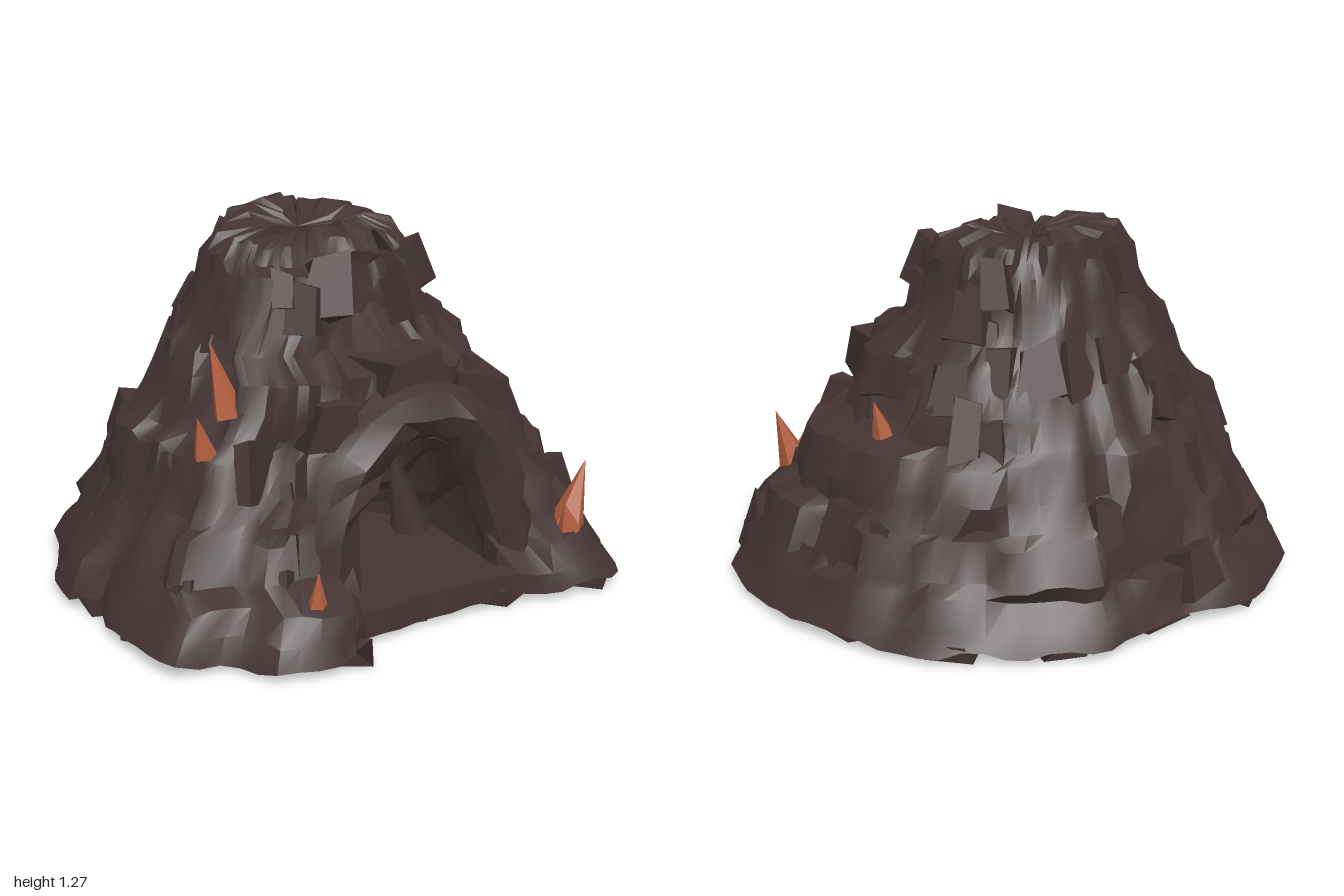
import * as THREE from 'three';
import { toCreasedNormals, mergeGeometries } from 'three/addons/utils/BufferGeometryUtils.js';

// repeatable noise in -1..1
const hash = (a, b = 0, c = 0) => {
  const s = Math.sin(a * 127.1 + b * 311.7 + c * 74.7 + 3.1) * 43758.5453;
  return (s - Math.floor(s)) * 2 - 1;
};

// footprint of the mound (x, z), running from its left side round the front
const OUTLINE = [
  [1, 0], [1, .25], [.93, .35], [.89, .52], [.83, .62], [.75, .82], [.6, .84], [.43, .8], [.3, .76],
  [0, .74], [-.17, .77], [-.3, .78], [-.4, .89], [-.65, .86], [-.73, .7], [-.93, .66], [-.97, .27],
  [-.92, .1], [-1, .04], [-.99, -.12], [-.89, -.35], [-.84, -.53], [-.65, -.71], [-.5, -.8],
  [-.3, -.79], [0, -.87], [.06, -.9], [.27, -.85], [.6, -.69], [.8, -.5], [.93, -.28],
];
// terraces: height, reach to -x, +x, front, back
const LEVELS = [
  [.04, 1, 1, .91, .91], [.11, .97, .95, .89, .87], [.19, .93, .91, .86, .82], [.23, .9, .89, .69, .8],
  [.35, .84, .85, .64, .74], [.39, .8, .78, .62, .72], [.48, .77, .75, .61, .67], [.58, .74, .71, .58, .63],
  [.63, .67, .59, .57, .6], [.72, .62, .55, .56, .56], [.81, .59, .52, .54, .51], [.87, .56, .45, .39, .48],
  [.97, .49, .37, .36, .43], [1.04, .45, .34, .35, .4], [1.12, .43, .32, .33, .37], [1.16, .41, .31, .22, .35],
  [1.21, .37, .27, .17, .33], [1.235, .25, .17, .08, .27], [1.2, .12, .08, 0, .19],
];
const COLS = 90;
const curve = new THREE.CatmullRomCurve3(OUTLINE.map(([x, z]) => new THREE.Vector3(x, 0, z)), true, 'catmullrom', .15);
const RING = curve.getSpacedPoints(COLS).slice(0, COLS);

// point of the rock face at column i, level j
function rockPoint(i, j) {
  i = (i + COLS) % COLS;
  const [y0, xl, xr, zf, zb] = LEVELS[j];
  const p = RING[i], a = Math.atan2(p.z / .9, p.x);
  const t = Math.min(1, j / 9) * .75;
  const ux = THREE.MathUtils.lerp(p.x, Math.cos(a), t);
  const uz = THREE.MathUtils.lerp(p.z / .91, Math.sin(a), t);
  // blocky ledges and gullies
  const low = j < 2 ? .2 : 1;
  const k = 1 + low * (.045 * hash(Math.floor(i / 4), Math.floor(j / 3), 1) + .025 * hash(Math.floor(i / 2), j, 2) - .01);
  let x = ux * (ux > 0 ? xr : xl) * k;
  let z = uz * (uz > 0 ? zf : zb) * k;
  let y = y0 + .018 * hash(Math.floor(i / 2), j, 4);
  if (j > 12) y += -z * .12 * (j - 12) / 6;
  // step back beside the cave mouth
  if (j > 1 && z > 0 && Math.abs(x - .05) < .4) z = Math.min(z, .6);
  // notch below the summit
  if (z > 0 && Math.abs(x - .05) < .11 && y > .93 && y < 1.14) z -= .1;
  return new THREE.Vector3(x, y, z);
}

// skin rows of points; keep(centre) can leave out faces
function skin(rows, closed, keep = () => true) {
  const n = rows[0].length, idx = [], mid = new THREE.Vector3();
  for (let j = 0; j < rows.length - 1; j++) {
    for (let i = 0; i < (closed ? n : n - 1); i++) {
      const i2 = (i + 1) % n, a = j * n + i, b = j * n + i2, c = a + n, d = b + n;
      mid.copy(rows[j][i]).add(rows[j][i2]).add(rows[j + 1][i]).add(rows[j + 1][i2]).multiplyScalar(.25);
      if (keep(mid)) idx.push(a, c, b, b, c, d);
    }
  }
  const g = new THREE.BufferGeometry().setFromPoints(rows.flat());
  g.setIndex(idx);
  g.computeVertexNormals();
  return toCreasedNormals(g, .6);
}

// chunk of rock with skewed corners
function chunk(w, h, d, seed) {
  const g = new THREE.BoxGeometry(1, 1, 1), p = g.attributes.position;
  for (let v = 0; v < p.count; v++) {
    const x = p.getX(v), y = p.getY(v), z = p.getZ(v), c = x * 4 + y * 2 + z;
    const f = (z > 0 ? .72 : 1) * (y > 0 ? .85 : 1.1);
    p.setXYZ(v, (x * f + .16 * hash(seed, c, 1)) * w, (y + .16 * hash(seed, c, 2)) * h, (z + .15 * hash(seed, c, 3)) * d);
  }
  return g;
}

export function createModel() {
  const model = new THREE.Group();
  const rock = new THREE.MeshStandardMaterial({ name: 'dark rock', color: 0x443333, side: THREE.DoubleSide });
  const crystal = new THREE.MeshStandardMaterial({ name: 'orange crystal', color: 0xb5603f });
  const add = (name, geo, mat) => {
    const m = new THREE.Mesh(geo, mat);
    m.name = name;
    model.add(m);
    return m;
  };

  // mound, open at the cave mouth
  const rows = LEVELS.map((_, j) => RING.map((_, i) => rockPoint(i, j)));
  rows.push(RING.map(() => new THREE.Vector3(-.04, 1.19, -.1)));
  const inMouth = (p) => p.z > .2 && p.y > .1 && Math.hypot((p.x - .05) / .3, (p.y - .1) / .53) < 1;
  add('mound', skin(rows, true, (p) => !inMouth(p)), rock);

  // hollowed underside
  const under = [[0, .1], [.35, .09], [.75, .05]].map(([s, y], r) => rows[0].map((p, i) =>
    new THREE.Vector3(p.x * s, y + (s ? .03 * hash(Math.floor(i / 3), r, 8) : 0), p.z * s)));
  add('underside', skin([...under, rows[0]], true), rock);

  // uneven feet along the bottom edge
  const feet = [];
  for (let i = 0; i < COLS; i += 6) {
    const p = rows[0][i], g = chunk(.2, .05, .1, i + 200);
    g.rotateY(Math.atan2(p.x, p.z));
    feet.push(g.translate(p.x * .91, .036, p.z * .91));
  }
  add('feet', mergeGeometries(feet), rock);

  // slabs breaking up the cliffs
  const slabs = [];
  for (let s = 0; s < 75; s++) {
    const j = 2 + s % 13, i = Math.floor((hash(s, 5) * .5 + .5) * COLS);
    const p = rockPoint(i, j);
    if (p.z > .2 && Math.abs(p.x - .05) < .46 && p.y < .86) continue;
    const size = .75 + .3 * hash(s, 9), g = chunk(.17 * size, .2 * size, .1, s);
    g.rotateX(-.35);
    g.rotateY(Math.atan2(p.x, p.z) + .25 * hash(s, 6));
    slabs.push(g.translate(p.x * .95, p.y - .03, p.z * .95));
  }
  add('slabs', mergeGeometries(slabs), rock);

  // thick rim over the cave mouth
  const archPath = new THREE.CatmullRomCurve3([
    [-.34, .04, .6], [-.31, .22, .58], [-.27, .42, .55], [-.14, .61, .53], [.05, .68, .52],
    [.24, .62, .53], [.36, .42, .55], [.4, .22, .58], [.43, .04, .6],
  ].map((p) => new THREE.Vector3(...p)));
  const arch = new THREE.TubeGeometry(archPath, 18, .105, 8);
  const ap = arch.attributes.position;
  for (let v = 0; v < ap.count; v++) {
    const ring = Math.floor(v / 9), side = v % 9 % 8;
    ap.setXYZ(v, ap.getX(v) + .02 * hash(ring, side, 1), ap.getY(v) + .015 * hash(ring, side, 2), ap.getZ(v) + .02 * hash(ring, side, 3));
  }
  add('caveRim', toCreasedNormals(arch, .6), rock);

  // brow running from the rim back into the cliff
  for (const [x, y, z, w] of [[.05, .8, .42, .42], [-.25, .7, .42, .26], [.33, .7, .42, .24]]) {
    const g = chunk(w, .16, .28, x * 50);
    add('brow', g.translate(x, y - .02, z - .02), rock);
  }

  // cave walls narrowing to the back
  const tunnel = [[.58, 1], [.42, .98], [.26, .9], [.1, .75], [-.04, .45], [-.08, 0]].map(([z, s], r) =>
    Array.from({ length: 17 }, (_, i) => {
      const a = Math.PI * i / 16, k = s * (1 + (r ? .14 * hash(i, r, 7) : 0));
      return new THREE.Vector3(.05 + Math.cos(a) * .29 * k, .08 + Math.sin(a) * .52 * k, z + (r ? .05 * hash(i, r, 3) : 0));
    }));
  add('caveWalls', skin(tunnel, false), rock);
  const floor = new THREE.BoxGeometry(.7, .05, .82);
  add('caveFloor', floor.translate(.05, .075, .32), rock);

  // leaning pillars inside the cave
  for (const [x, z, h, lean] of [[-.12, .25, .42, -.25], [.2, .22, .4, .25], [.03, .05, .4, .1], [-.05, .12, .3, -.15]]) {
    const m = add('cavePillar', new THREE.ConeGeometry(.08, h, 5), rock);
    m.position.set(x, .08 + h / 2, z);
    m.rotation.z = lean;
  }

  // crystals: foot, tip, radius
  const spikes = [
    [[-.52, .7, .3], [-.57, .95, .27], .055], [[-.64, .6, .36], [-.67, .74, .37], .04],
    [[-.46, .15, .77], [-.465, .32, .79], .045], [[.63, .19, .64], [.7, .42, .64], .065],
    [[.6, .19, .69], [.57, .3, .7], .045], [[.56, .6, -.21], [.6, .75, -.22], .045],
  ];
  for (const [foot, tip, r] of spikes) {
    const a = new THREE.Vector3(...foot), d = new THREE.Vector3(...tip).sub(a), h = d.length();
    const g = toCreasedNormals(new THREE.ConeGeometry(r, h, 5).translate(0, h / 2, 0), .3);
    const m = add('crystal', g, crystal);
    m.position.copy(a);
    m.quaternion.setFromUnitVectors(new THREE.Vector3(0, 1, 0), d.normalize());
  }
  return model;
}
